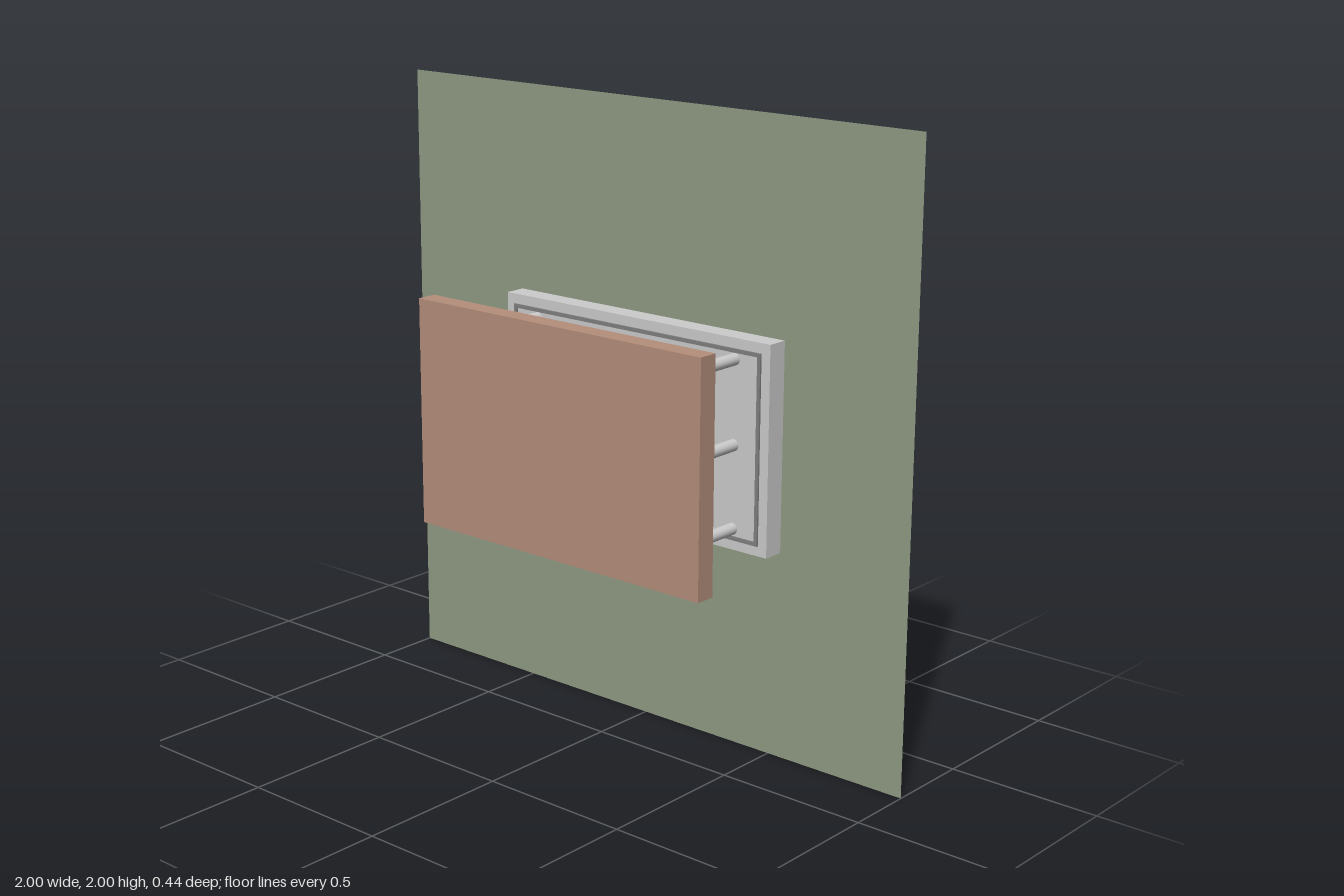
import * as THREE from 'three';

export function createModel() {
  const root = new THREE.Group();
  const mat = (color, side = THREE.FrontSide) => new THREE.MeshStandardMaterial({ color, side });
  const grey = mat(0xcccccc);
  const trim = mat(0x808080);

  function add(name, geometry, material, x, y, z, parent = root) {
    const mesh = new THREE.Mesh(geometry, material);
    mesh.name = name;
    mesh.position.set(x, y, z);
    parent.add(mesh);
    return mesh;
  }

  // Thin backing wall
  add('wall', new THREE.PlaneGeometry(2, 2), mat(0x8f9b84, THREE.DoubleSide), 0, 1, -0.218);

  // Base plate fixed to the wall
  add('basePlate', new THREE.BoxGeometry(1.064, 0.664, 0.07), grey, 0, 1, -0.182);

  // Slim raised border around the base plate's face
  const border = new THREE.Group();
  border.name = 'border';
  root.add(border);
  for (const s of [-1, 1]) {
    add('borderRail', new THREE.BoxGeometry(1.0, 0.012, 0.008), trim, 0, 1 + s * 0.294, -0.145, border);
    add('borderStile', new THREE.BoxGeometry(0.012, 0.576, 0.008), trim, s * 0.494, 1, -0.145, border);
  }

  // Small central panel on the base plate
  add('centrePanel', new THREE.BoxGeometry(0.39, 0.18, 0.012), mat(0x5a6678), 0, 1, -0.143);

  // Two columns of three standoff pins pointing forward
  const pinGeometry = new THREE.CylinderGeometry(0.019, 0.019, 0.264, 24).rotateX(Math.PI / 2);
  const pins = new THREE.Group();
  pins.name = 'pins';
  root.add(pins);
  for (const x of [-0.4, 0.4])
    for (const y of [0.735, 1, 1.267]) add('pin', pinGeometry, grey, x, y, -0.015, pins);

  // Separate cover board in front of the pins
  add('frontBoard', new THREE.BoxGeometry(1.13, 0.734, 0.066), mat(0xb58f7b), 0, 1.002, 0.185);

  return root;
}
